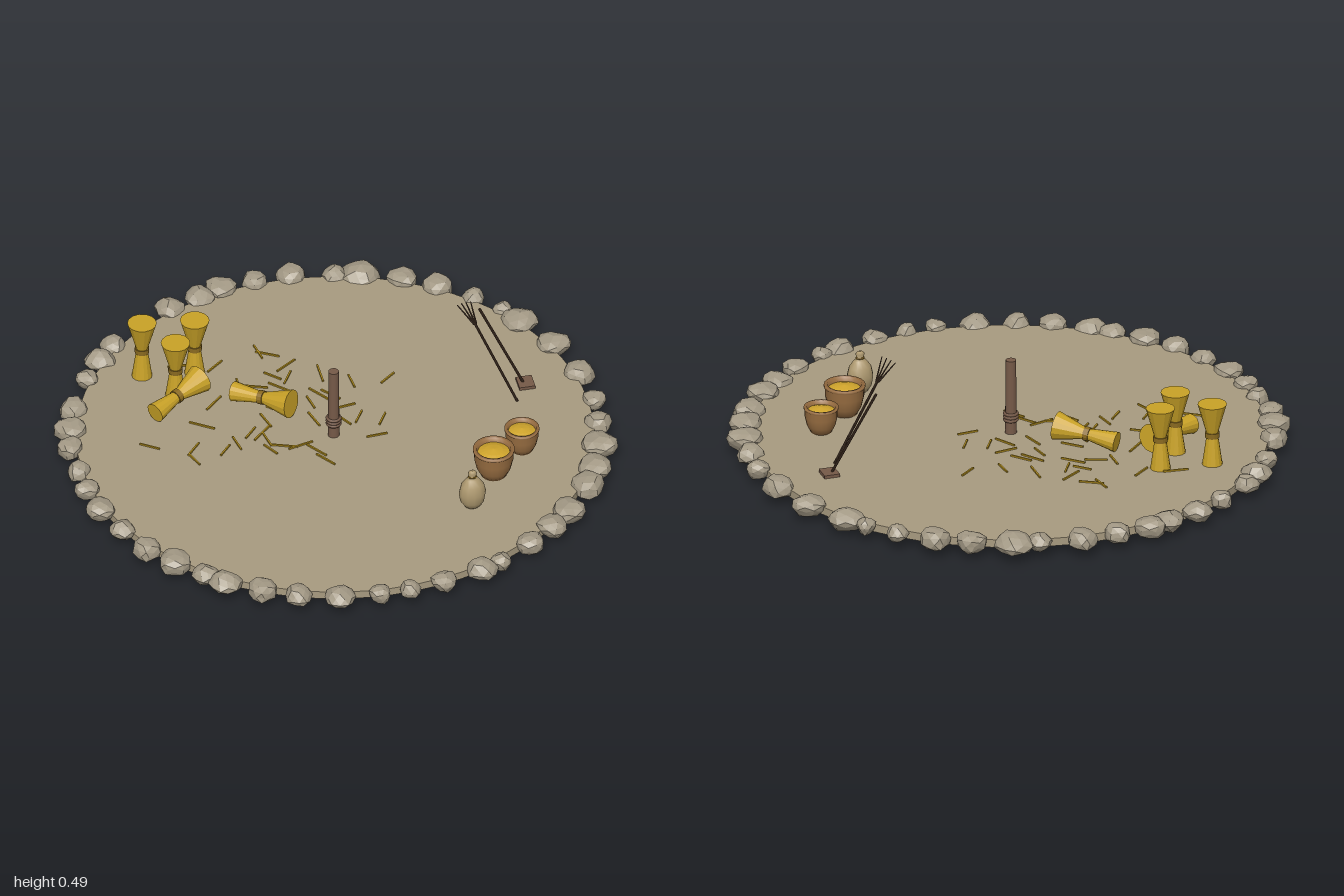
import * as THREE from 'three';

const mat = (name, color, flatShading = true) => {
  const m = new THREE.MeshStandardMaterial({ color, flatShading });
  m.name = name;
  return m;
};
const FLOOR = 0.06;

export function createModel() {
  const root = new THREE.Group();
  const M = {
    earth: mat('packed earth', 0xa89b80, false), stone: mat('stone', 0xa39985),
    straw: mat('golden straw', 0xc9a227, false), loose: mat('loose straw', 0xb08d1e),
    wood: mat('post wood', 0x765a48, false), dark: mat('dark wood', 0x4a3628),
    clay: mat('clay', 0x9a6f42, false), grain: mat('grain', 0xd0a52c),
    sack: mat('sackcloth', 0xaf9a70, false), twine: mat('twine', 0x8a6a20),
  };
  M.clay.side = THREE.DoubleSide;
  let seed = 7;
  const rnd = () => ((seed = (seed * 16807) % 2147483647) / 2147483647);
  const add = (parent, name, geo, m, x = 0, y = 0, z = 0) => {
    const o = new THREE.Mesh(geo, m);
    o.name = name;
    o.position.set(x, y, z);
    parent.add(o);
    return o;
  };
  const group = (name, x = 0, y = 0, z = 0) => {
    const g = new THREE.Group();
    g.name = name;
    g.position.set(x, y, z);
    root.add(g);
    return g;
  };
  const lathe = (pts, n) => new THREE.LatheGeometry(pts.map(p => new THREE.Vector2(...p)), n);
  const UP = new THREE.Vector3(0, 1, 0);
  const aim = (o, from, to) => {
    o.position.set(...from);
    o.quaternion.setFromUnitVectors(UP, new THREE.Vector3(...to).sub(o.position).normalize());
  };

  // Round floor
  add(root, 'threshingFloor', new THREE.CylinderGeometry(0.93, 0.93, 0.03, 64), M.earth, -0.005, FLOOR - 0.015, 0);

  // Ring of stones: angle in degrees, width in hundredths
  const stones = [0, 8, 8, 9, 16, 12, 24, 12, 30.5, 12, 40.5, 11, 47, 10, 54.8, 9, 63.8, 7, 68.8, 10, 78, 8, 86, 7,
    92.6, 7, 101.5, 10, 110.5, 9, 118.5, 10, 127, 11, 132, 9, 140, 11, 147.7, 9, 156.3, 9, 165, 10, 172.6, 8,
    179.4, 8, 187.8, 9, 194.2, 11, 201.7, 10, 212.8, 8, 220.2, 10, 226.1, 8, 235.9, 7, 243.9, 10, 251.6, 10,
    257, 10, 264.8, 9, 273, 10, 282.4, 8, 288.1, 13, 297.3, 10, 305.3, 11, 313.9, 7, 321.7, 6, 327.2, 13,
    338.2, 11, 349.8, 11];
  const ring = group('stoneRing', -0.005, 0, 0);
  for (let i = 0; i < stones.length; i += 2) {
    const a = stones[i] * Math.PI / 180, w = stones[i + 1] / 200 + 0.003;
    const geo = new THREE.IcosahedronGeometry(1, 1), p = geo.attributes.position, k = rnd() * 9;
    for (let j = 0; j < p.count; j++) {
      const x = p.getX(j), y = p.getY(j), z = p.getZ(j);
      const s = 1 + 0.1 * Math.sin(3 * x + k) * Math.cos(4 * z - k) + 0.06 * Math.sin(5 * y + 2 * k);
      p.setXYZ(j, x * s, y * s, z * s);
    }
    geo.computeVertexNormals();
    const r = 0.942 + rnd() * 0.012;
    const o = add(ring, 'stone', geo, M.stone, Math.cos(a) * r, 0.057, Math.sin(a) * r);
    o.scale.set(w * (0.95 + rnd() * 0.15), 0.025 + w * 0.24, w * (0.95 + rnd() * 0.15));
    o.rotation.y = -a + rnd() - 0.5;
  }

  // Centre post with rope rings
  const post = group('centrePost', -0.01, 0, 0);
  add(post, 'postShaft', new THREE.CylinderGeometry(0.019, 0.022, 0.345, 12), M.wood, 0, 0.1725, 0);
  for (const y of [0.112, 0.124, 0.136]) {
    add(post, 'ropeRing', new THREE.TorusGeometry(0.023, 0.006, 6, 16), M.wood, 0, y, 0).rotation.x = Math.PI / 2;
  }

  // Sheaves: three standing, two lying
  const sheafGeo = lathe([[0, 0], [0.037, 0], [0.037, 0], [0.022, 0.105], [0.022, 0.125], [0.053, 0.235], [0.053, 0.235], [0, 0.235]], 14);
  const bodyGeo = sheafGeo.toNonIndexed();
  bodyGeo.computeVertexNormals();
  const sheaf = (from, to) => {
    const g = group('sheaf');
    aim(g, from, to);
    add(g, 'sheafStalks', bodyGeo, M.straw);
    add(g, 'sheafTie', new THREE.CylinderGeometry(0.026, 0.026, 0.02, 14), M.twine, 0, 0.115, 0);
  };
  for (const [x, z] of [[-0.605, -0.49], [-0.417, -0.465], [-0.513, -0.35]]) sheaf([x, FLOOR, z], [x, 1, z]);
  sheaf([-0.618, 0.097, -0.215], [-0.43, 0.123, -0.34]);
  sheaf([-0.315, 0.097, -0.28], [-0.14, 0.123, -0.13]);

  // Loose straw: x and z in hundredths, angle in degrees
  const straws = [-17, -53, 80, -14, -51, 30, -9, -43, -35, -28, -35, 90, -22, -33, 20, -15, -38, 45, -10, -36, -60,
    -14, -31, 45, 2, -36, 90, 12, -29, 85, -1, -24, 55, 3, -23, 50, -5, -20, 80, 25, -28, -40, 6, -15, -10,
    10, -8, -60, 18, -5, -60, 14, 4, -5, 4, -8, 60, -6, -10, 75, -23, -13, 75, -26, -6, -45, -30, -7, -50,
    -25, -2, 80, -36, -2, 80, -25, 4, 60, -41, 1, -50, -52, -2, -50, -53, 4, 70, -67, -7, 35, -46, -15, 35,
    -39, -27, -45, -46, -51, 5, -34, -48, -40, -14, 4, -15, -20, 3, 20, -9, 8, 55, -7, 14, 55, -18, -18, 45];
  const litter = group('looseStraw');
  for (let i = 0; i < straws.length; i += 3) {
    const o = add(litter, 'straw', new THREE.BoxGeometry(0.07 + rnd() * 0.03, 0.006, 0.006), M.loose,
      straws[i] / 100, FLOOR + 0.004, straws[i + 1] / 100);
    o.rotation.y = -straws[i + 2] * Math.PI / 180;
  }

  // Clay bowls filled with grain
  for (const [x, z, r, h] of [[0.5, 0.35, 0.075, 0.115], [0.63, 0.23, 0.063, 0.097]]) {
    const g = group('grainBowl', x, FLOOR, z);
    add(g, 'bowl', lathe([[0, 0], [r * 0.6, 0], [r * 0.82, h * 0.28], [r * 0.94, h * 0.62], [r * 0.94, h * 0.88],
      [r, h * 0.92], [r, h], [r * 0.82, h], [r * 0.76, h * 0.8]], 20), M.clay);
    add(g, 'grainHeap', lathe([[r * 0.8, h * 0.85], [r * 0.45, h * 0.93], [0, h * 0.98]], 16), M.grain);
  }

  // Tied sack
  const sack = group('sack', 0.385, FLOOR, 0.515);
  sack.scale.z = 0.78;
  add(sack, 'sackBody', lathe([[0, 0], [0.028, 0], [0.044, 0.025], [0.05, 0.06], [0.042, 0.095], [0.024, 0.12],
    [0.012, 0.13], [0.017, 0.146], [0.011, 0.154], [0, 0.154]], 12), M.sack);
  add(sack, 'sackTie', new THREE.TorusGeometry(0.013, 0.004, 6, 12), M.twine, 0, 0.13, 0).rotation.x = Math.PI / 2;

  // Leaning fork
  const fork = group('fork');
  aim(fork, [0.675, FLOOR, -0.05], [0.515, 0.43, -0.117]);
  fork.rotateY(-0.4);
  add(fork, 'forkHandle', new THREE.CylinderGeometry(0.005, 0.005, 0.37, 8), M.dark, 0, 0.185, 0);
  for (const s of [-1.5, -0.5, 0.5, 1.5]) {
    const t = add(fork, 'forkTine', new THREE.CylinderGeometry(0.002, 0.0035, 0.1, 6).translate(0, 0.05, 0), M.dark, s * 0.003, 0.36, 0);
    t.rotation.z = -s * 0.15;
  }

  // Leaning shovel
  const shovel = group('shovel');
  const handle = add(shovel, 'shovelHandle', new THREE.CylinderGeometry(0.005, 0.005, 0.35, 8).translate(0, 0.175, 0), M.dark);
  aim(handle, [0.717, FLOOR + 0.01, -0.14], [0.57, 0.38, -0.2]);
  add(shovel, 'shovelBlade', new THREE.BoxGeometry(0.058, 0.012, 0.066), M.wood, 0.725, FLOOR + 0.008, -0.138);

  return root;
}
